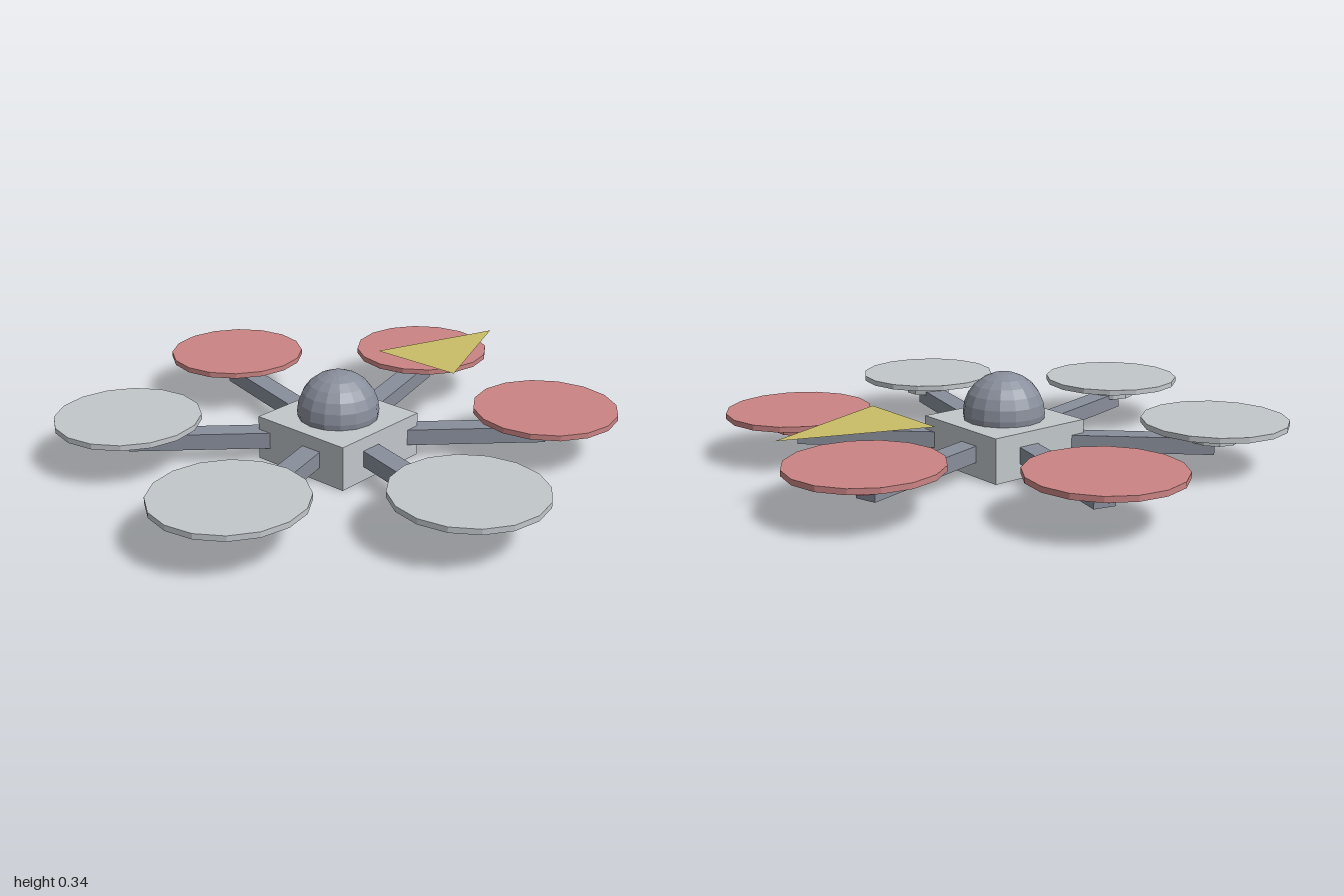
import * as THREE from 'three';

export function createModel() {
  const mat = (name, color, extra = {}) => {
    const m = new THREE.MeshStandardMaterial({ color, flatShading: true, ...extra });
    m.name = name;
    return m;
  };
  const paleGrey = mat('paleGrey', 0xc2c7cb);
  const slate = mat('slate', 0x888e9b);
  const red = mat('red', 0xcb8484);
  const yellow = mat('yellow', 0xcabd68, { side: THREE.DoubleSide });

  const model = new THREE.Group();
  model.name = 'hexacopter';
  const add = (name, geometry, material, x, y, z) => {
    const mesh = new THREE.Mesh(geometry, material);
    mesh.name = name;
    mesh.position.set(x, y, z);
    model.add(mesh);
    return mesh;
  };

  // Central body and dome
  add('body', new THREE.BoxGeometry(0.41, 0.165, 0.41), paleGrey, 0, 0.0825, 0);
  add('dome', new THREE.SphereGeometry(0.15, 16, 12), slate, 0, 0.185, 0);

  // Six arms, each with a motor and rotor disc; the +x half is red
  const reach = 0.76;
  const armGeo = new THREE.BoxGeometry(reach, 0.06, 0.08).translate(reach / 2, 0, 0);
  const motorGeo = new THREE.CylinderGeometry(0.09, 0.09, 0.065, 10);
  const rotorGeo = new THREE.CylinderGeometry(0.265, 0.265, 0.02, 16);
  for (let i = 0; i < 6; i++) {
    const a = THREE.MathUtils.degToRad(15 + i * 60);
    const x = Math.cos(a) * reach, z = -Math.sin(a) * reach;
    const paint = x > 0 ? red : paleGrey;
    add('arm' + (i + 1), armGeo, slate, 0, 0.085, 0).rotation.y = a;
    add('motor' + (i + 1), motorGeo, paint, x, 0.1325, z);
    add('rotor' + (i + 1), rotorGeo, paint, x, 0.17, z);
  }

  // Flat heading arrow floating above the rotors, pointing to +x
  const arrow = new THREE.Shape([
    new THREE.Vector2(0.445, -0.185),
    new THREE.Vector2(0.94, 0),
    new THREE.Vector2(0.445, 0.185),
  ]);
  add('headingArrow', new THREE.ShapeGeometry(arrow).rotateX(-Math.PI / 2), yellow, 0, 0.245, 0);

  return model;
}
